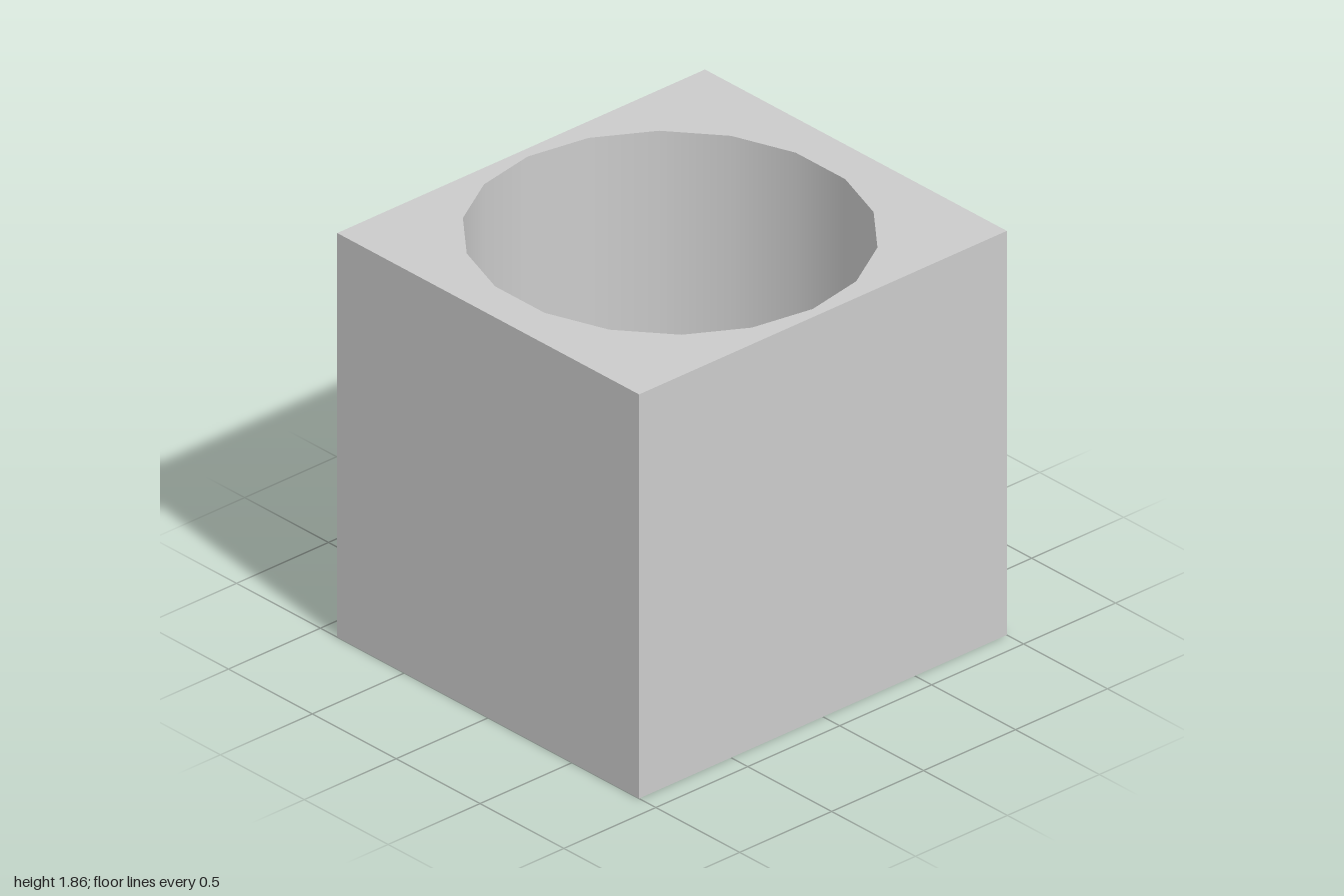
import * as THREE from 'three';

const W = 1.8, H = 1.86, D = 2;              // outer block
const RX = 0.85, RZ = 0.83, CZ = 0.01;       // well radii and centre
const SIDES = 18, FLOOR = 0.1;

export function createModel() {
  const group = new THREE.Group();
  group.name = 'planter';
  const material = new THREE.MeshStandardMaterial({ color: 0xcccccc });
  const add = (name, geometry) => {
    const mesh = new THREE.Mesh(geometry, material);
    mesh.name = name;
    group.add(mesh);
    return mesh;
  };

  // Outer block: a box without its top face
  const block = new THREE.BoxGeometry(W, H, D);
  const index = Array.from(block.index.array);
  index.splice(12, 6);
  block.setIndex(index);
  block.clearGroups();
  add('outerBlock', block.translate(0, H / 2, 0));

  // Top face pierced by the many-sided opening
  const rim = new THREE.Shape([
    new THREE.Vector2(-W / 2, -D / 2), new THREE.Vector2(W / 2, -D / 2),
    new THREE.Vector2(W / 2, D / 2), new THREE.Vector2(-W / 2, D / 2),
  ]);
  const opening = [];
  for (let i = 0; i < SIDES; i++) {
    const a = (-i / SIDES) * Math.PI * 2;
    opening.push(new THREE.Vector2(RX * Math.cos(a), RZ * Math.sin(a) - CZ));
  }
  rim.holes.push(new THREE.Path(opening));
  add('topRim', new THREE.ShapeGeometry(rim).rotateX(-Math.PI / 2).translate(0, H, 0));

  // Smooth inner wall, facing inwards
  const profile = [new THREE.Vector2(1, H), new THREE.Vector2(1, FLOOR)];
  add('wellWall', new THREE.LatheGeometry(profile, SIDES, Math.PI / 2)
    .scale(RX, 1, RZ).translate(0, 0, CZ));

  // Floor of the well
  add('wellFloor', new THREE.CircleGeometry(1, SIDES)
    .rotateX(-Math.PI / 2).scale(RX, 1, RZ).translate(0, FLOOR, CZ));

  return group;
}
